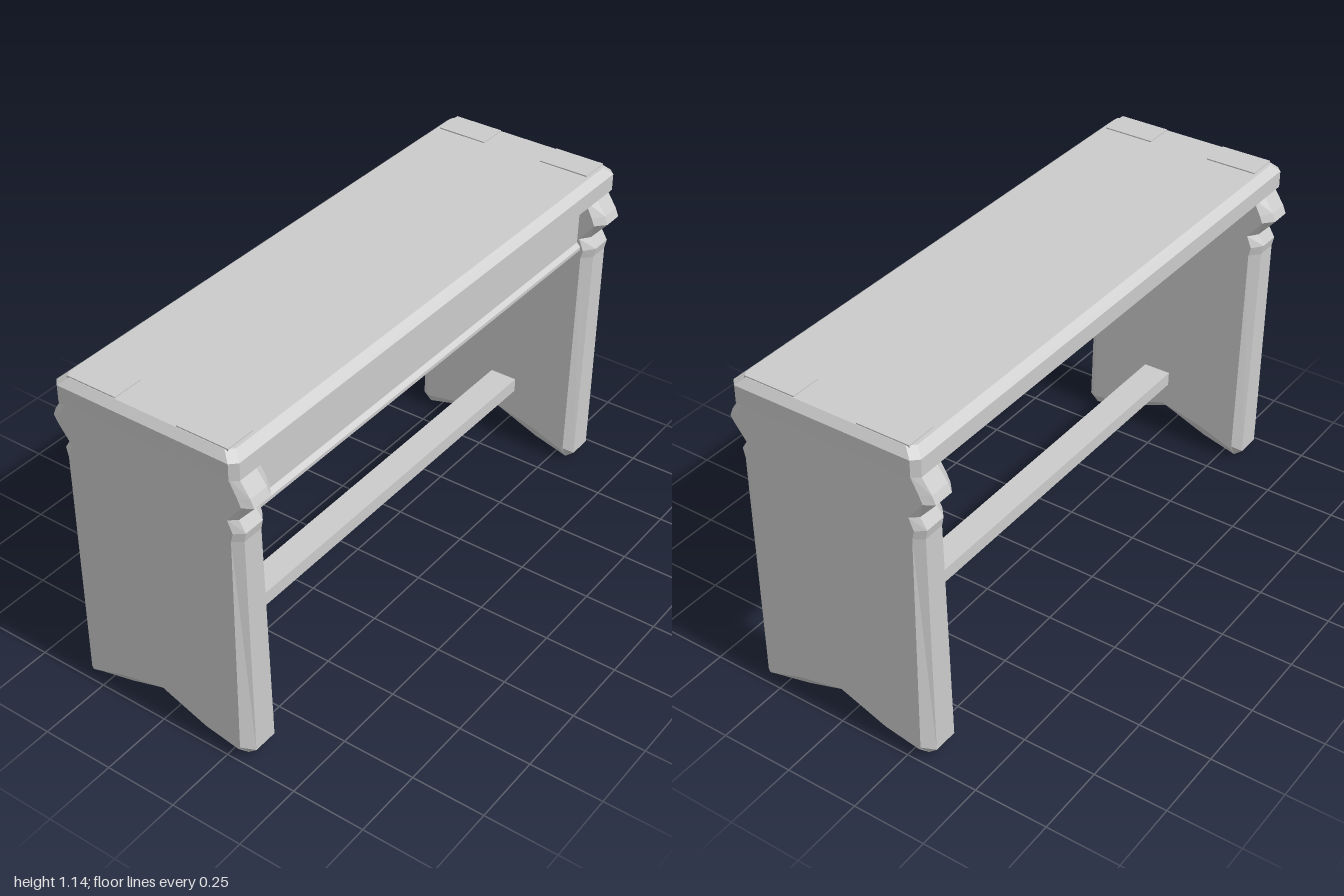
import * as THREE from 'three';

const material = new THREE.MeshStandardMaterial({ color: 0xcccccc, flatShading: true });

function addMesh(parent, name, geometry, x = 0, y = 0, z = 0) {
  const mesh = new THREE.Mesh(geometry, material);
  mesh.name = name;
  mesh.position.set(x, y, z);
  parent.add(mesh);
  return mesh;
}

// Skins a stack of equal-length rings of Vector3 and caps both ends.
// Rings run counter-clockwise as seen from the last ring's side.
function loft(rings, capOutline) {
  const n = rings[0].length;
  const pos = rings.flat().flatMap((p) => [p.x, p.y, p.z]);
  const index = [];
  for (let r = 0; r < rings.length - 1; r++) {
    for (let i = 0; i < n; i++) {
      const j = (i + 1) % n;
      const a = r * n + i, b = r * n + j, c = a + n, d = b + n;
      index.push(a, b, d, a, d, c);
    }
  }
  const last = (rings.length - 1) * n;
  for (const [a, b, c] of THREE.ShapeUtils.triangulateShape(capOutline, [])) {
    index.push(last + a, last + b, last + c, c, b, a);
  }
  const g = new THREE.BufferGeometry();
  g.setAttribute('position', new THREE.Float32BufferAttribute(pos, 3));
  g.setIndex(index);
  const flat = g.toNonIndexed();
  flat.computeVertexNormals();
  return flat;
}

// Seat board: clipped corners and bevelled edges
function seatGeometry() {
  const levels = [[0.31, 0.985, 1.05], [0.33, 1, 1.06], [0.33, 1, 1.118], [0.302, 0.978, 1.142]];
  const ring = ([w, d, y]) => {
    const c = 0.022;
    return [[w, d - c], [w, -d + c], [w - c, -d], [-w + c, -d],
      [-w, -d + c], [-w, d - c], [-w + c, d], [w - c, d]]
      .map(([x, z]) => new THREE.Vector3(x, y, z));
  };
  const rings = levels.map(ring);
  return loft(rings, rings[3].map((p) => new THREE.Vector2(p.x, -p.z)));
}

// Leg panel: scalloped side profile, arched foot, bevel all round
function legGeometry() {
  // Side profile from foot to top: rim x, rim y, face x, face y
  const side = [
    [0.295, 0.003, 0.29, 0.045], [0.326, 0.03, 0.296, 0.055], [0.326, 0.84, 0.296, 0.84],
    [0.333, 0.873, 0.303, 0.87], [0.31, 0.91, 0.285, 0.91], [0.367, 0.975, 0.336, 0.975],
    [0.355, 1.003, 0.325, 1.0], [0.32, 1.055, 0.295, 1.055],
  ];
  const mirrored = side.map(([a, b, c, d]) => [-a, b, -c, d]).reverse();
  const arch = [[-0.165, 0.037, -0.165, 0.09], [0, 0.1, 0, 0.13], [0.165, 0.037, 0.165, 0.068]];
  const outline = [...side, ...mirrored, ...arch];
  // Thickness grows slightly from top to foot
  const ring = (face, zFoot, zTop) => outline.map((p) => {
    const x = p[face ? 2 : 0], y = p[face ? 3 : 1];
    return new THREE.Vector3(x, y, zFoot + (zTop - zFoot) * (y / 1.05));
  });
  const rings = [
    ring(true, 0.838, 0.865), ring(false, 0.868, 0.9),
    ring(false, 0.955, 0.97), ring(true, 0.995, 0.987),
  ];
  return loft(rings, outline.map((p) => new THREE.Vector2(p[2], p[3])));
}

// Apron board with a small lip along its lower edge
function apronGeometry() {
  const shape = new THREE.Shape([
    [0.235, 1.055], [0.235, 0.865], [0.285, 0.862], [0.292, 0.87],
    [0.292, 0.882], [0.278, 0.895], [0.278, 1.055],
  ].map(([x, y]) => new THREE.Vector2(x, y)));
  const g = new THREE.ExtrudeGeometry(shape, { depth: 1.76, bevelEnabled: false });
  g.translate(0, 0, -0.88);
  return g;
}

export function createModel() {
  const bench = new THREE.Group();
  bench.name = 'bench';

  addMesh(bench, 'seat', seatGeometry());
  const leg = legGeometry();
  addMesh(bench, 'frontLeg', leg);
  addMesh(bench, 'backLeg', leg).rotation.y = Math.PI;
  addMesh(bench, 'apron', apronGeometry());
  addMesh(bench, 'stretcher', new THREE.BoxGeometry(0.1, 0.05, 1.72), 0.03, 0.24, 0);

  // Tenon ends showing just above the seat
  for (const x of [-0.2, 0.2]) {
    for (const z of [-0.923, 0.923]) {
      addMesh(bench, 'tenon', new THREE.BoxGeometry(0.18, 0.05, 0.106), x, 1.121, z);
    }
  }
  return bench;
}
